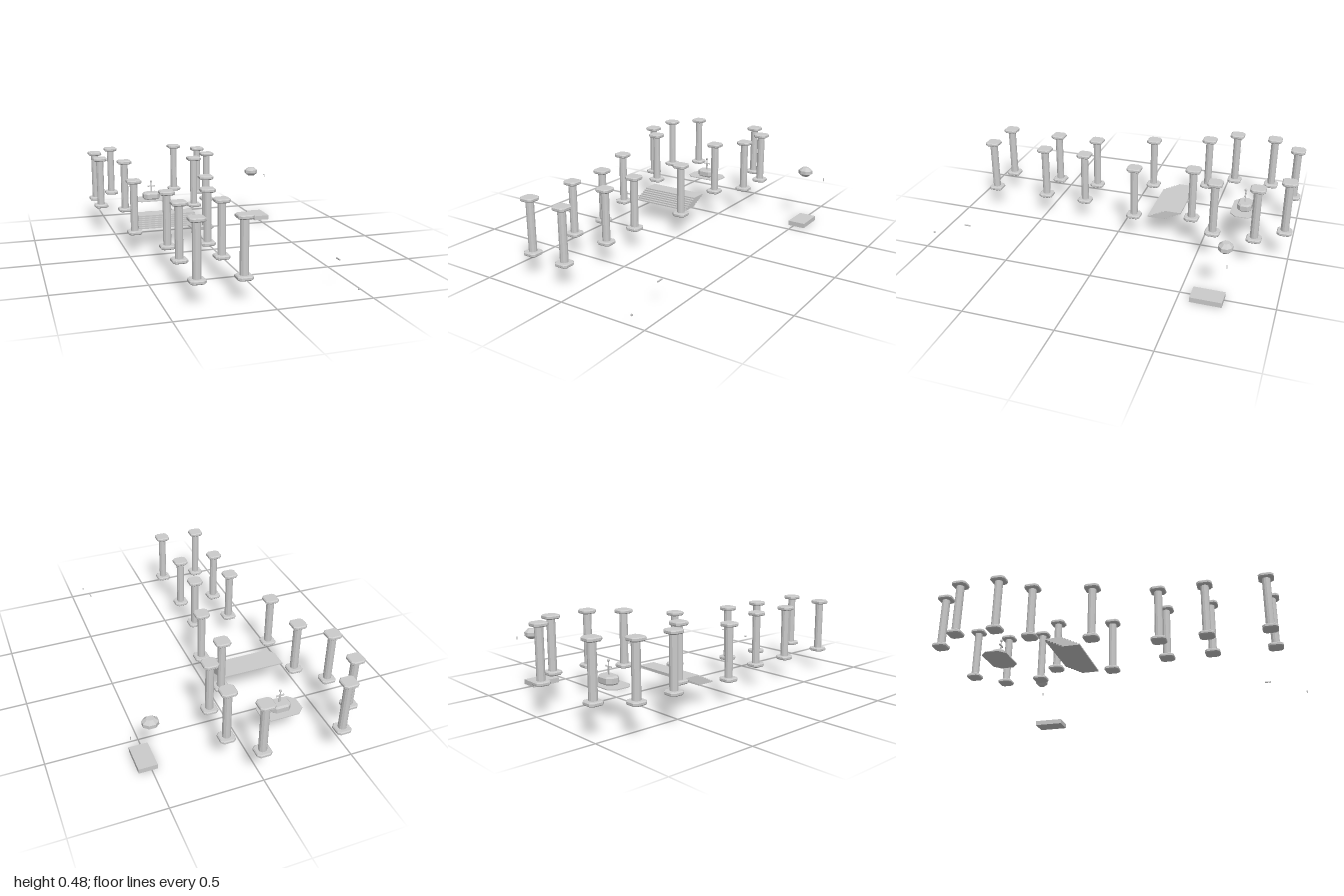
import * as THREE from 'three';

const grey = new THREE.MeshStandardMaterial({ color: 0xcccccc, flatShading: true });

function add(parent, name, geometry, x, y, z) {
  const mesh = new THREE.Mesh(geometry, grey);
  mesh.name = name;
  mesh.position.set(x, y, z);
  parent.add(mesh);
  return mesh;
}

// Rectangular slab with cut corners and a bevelled rim, standing on y = 0
function cutSlab(w, h, d, cut, bevel) {
  const a = w / 2 - bevel, b = d / 2 - bevel;
  const shape = new THREE.Shape([
    [a, -b + cut], [a, b - cut], [a - cut, b], [-a + cut, b],
    [-a, b - cut], [-a, -b + cut], [-a + cut, -b], [a - cut, -b],
  ].map(([x, y]) => new THREE.Vector2(x, y)));
  const geo = new THREE.ExtrudeGeometry(shape, {
    depth: h - 2 * bevel, bevelEnabled: bevel > 0,
    bevelSize: bevel, bevelThickness: bevel, bevelSegments: 1,
  });
  return geo.translate(0, 0, bevel).rotateX(-Math.PI / 2);
}

export function createModel() {
  const model = new THREE.Group();
  model.name = 'ruinedTemple';

  // Pillars: base, shaft and capital
  const cap = cutSlab(0.082, 0.021, 0.082, 0.012, 0.005);
  const shaft = new THREE.CylinderGeometry(0.0225, 0.0225, 0.28, 12);
  function pillar(name, x, y, z) {
    const group = new THREE.Group();
    group.name = name;
    group.position.set(x, y, z);
    add(group, 'base', cap, 0, 0, 0);
    add(group, 'shaft', shaft, 0, 0.16, 0);
    add(group, 'capital', cap, 0, 0.299, 0);
    model.add(group);
  }

  // Ring of pillars on the upper level
  for (const [x, z] of [[0.222, -0.965], [0.35, -0.815], [0.35, -0.587], [0.222, -0.44]]) {
    for (const side of [-1, 1]) pillar('sanctuaryPillar', -0.22 + side * x, 0.163, z);
  }
  // Avenue of pillars on the lower level
  for (const [left, right, zl, zr] of [
    [-0.452, -0.022, -0.09, -0.09], [-0.34, -0.113, 0.25, 0.25],
    [-0.34, -0.113, 0.505, 0.505], [-0.34, -0.11, 0.832, 0.846],
  ]) {
    pillar('avenuePillar', left, 0.11, zl);
    pillar('avenuePillar', right, 0.11, zr);
  }

  // Stairs: overlapping slabs, each set further back
  const steps = 7, rise = 0.056 / steps;
  const stairs = new THREE.Group();
  stairs.name = 'stairs';
  model.add(stairs);
  for (let i = 0; i < steps; i++) {
    add(stairs, 'step', new THREE.BoxGeometry(0.37, rise, 0.1),
      -0.224, 0.11 + rise * (i + 0.5), -0.219 - i * 0.0163);
  }

  // Altar: thin platform and pedestal
  add(model, 'altarPlatform', cutSlab(0.235, 0.005, 0.147, 0.037, 0), -0.217, 0.163, -0.71);
  add(model, 'altarBlock', cutSlab(0.11, 0.046, 0.082, 0.016, 0.009), -0.217, 0.166, -0.71);

  // Sword standing in the altar
  const sword = new THREE.Group();
  sword.name = 'sword';
  sword.position.set(-0.217, 0.21, -0.708);
  model.add(sword);
  add(sword, 'blade', new THREE.BoxGeometry(0.011, 0.044, 0.004), 0, 0.022, 0);
  add(sword, 'guard', new THREE.BoxGeometry(0.04, 0.005, 0.007), 0, 0.044, 0);
  for (const side of [-1, 1]) {
    add(sword, 'guardEnd', new THREE.SphereGeometry(0.005, 8, 6), side * 0.02, 0.044, 0);
  }
  add(sword, 'grip', new THREE.CylinderGeometry(0.003, 0.003, 0.026, 8), 0, 0.058, 0);
  add(sword, 'pommel', new THREE.SphereGeometry(0.008, 8, 6), 0, 0.075, 0);

  // Floating faceted stone
  const profile = [[0, -0.028], [0.021, -0.028], [0.044, -0.01], [0.044, 0.01], [0.021, 0.028], [0, 0.028]];
  const stone = new THREE.LatheGeometry(profile.map(([x, y]) => new THREE.Vector2(x, y)), 8);
  stone.rotateY(Math.PI / 8).scale(1, 1, 0.88);
  add(model, 'floatingStone', stone, 0.493, 0.311, -0.72);

  // Loose slab and small fragments
  add(model, 'looseSlab', new THREE.BoxGeometry(0.103, 0.028, 0.17), 0.519, 0.014, -0.65);
  add(model, 'fragment', new THREE.BoxGeometry(0.004, 0.019, 0.004), 0.604, 0.27, -0.75).rotation.z = 0.15;
  add(model, 'fragment', new THREE.BoxGeometry(0.006, 0.006, 0.036), 0.422, 0.135, 0.768);
  add(model, 'fragment', new THREE.BoxGeometry(0.009, 0.008, 0.008), 0.423, 0.052, 0.992);

  return model;
}
